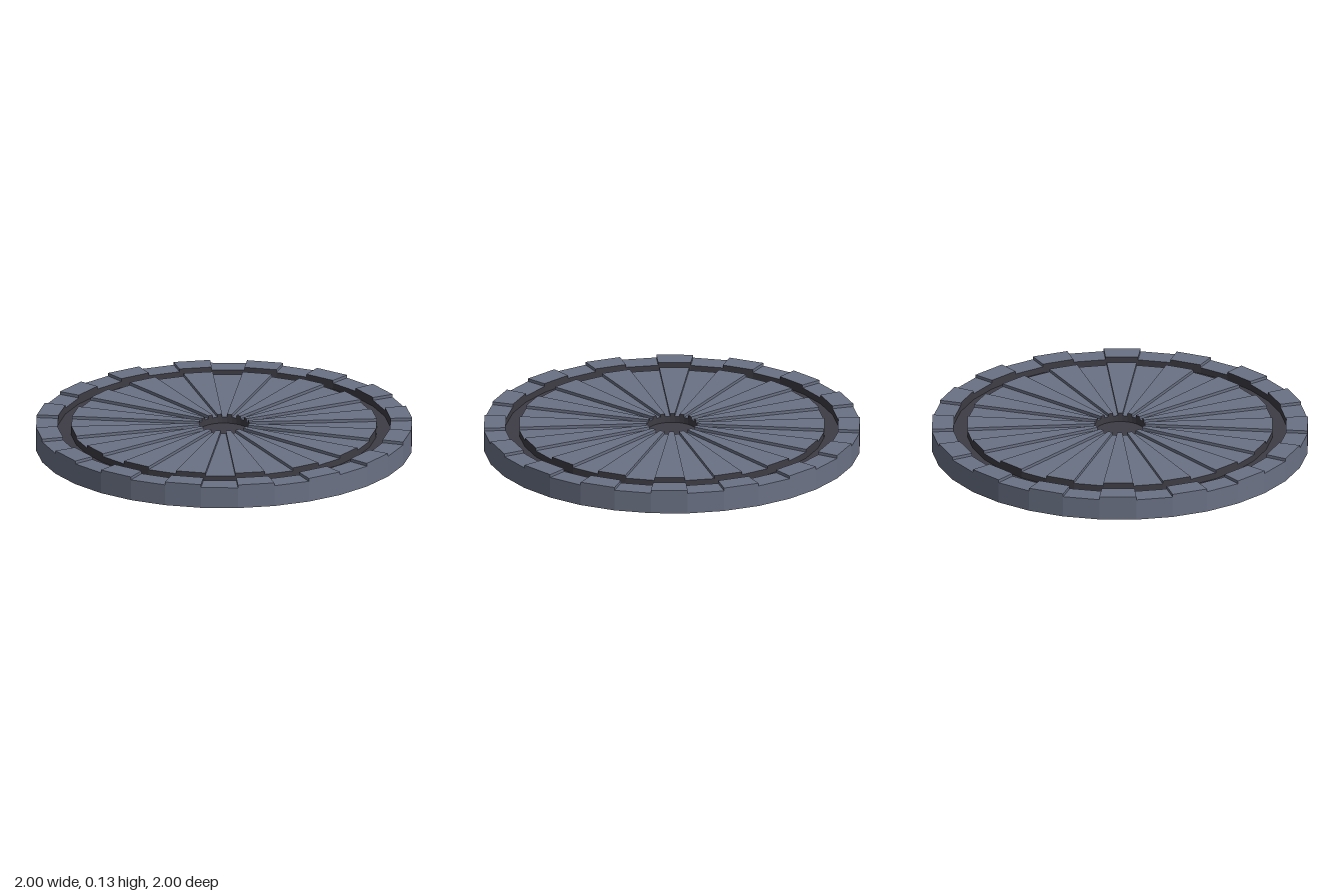
import * as THREE from 'three';

const SIDES = 32;
const HIGH = 0.13, LOW = 0.114, FLOOR = 0.08;
const R_OUTER = 1, R_GROOVE_OUT = 0.885, R_GROOVE_IN = 0.812, R_HUB = 0.133;

const point = (i, r, y) => {
  const a = (i / SIDES) * Math.PI * 2;
  return [r * Math.cos(a), y, r * Math.sin(a)];
};
// Alternate sectors are sunk
const topOf = (i) => (i % 2 === 0 ? LOW : HIGH);

// Collects flat quads and turns them into a mesh
class Panels {
  constructor() { this.data = []; }
  quad(a, b, c, d) { this.data.push(...a, ...b, ...c, ...a, ...c, ...d); }
  // Level strip of one sector, facing up
  flat(i, r0, r1, y) {
    this.quad(point(i, r0, y), point(i + 1, r0, y), point(i + 1, r1, y), point(i, r1, y));
  }
  // Upright wall of one sector, facing away from or toward the axis
  wall(i, r, y0, y1, outward) {
    const q = [point(i, r, y0), point(i, r, y1), point(i + 1, r, y1), point(i + 1, r, y0)];
    this.quad(...(outward ? q : q.reverse()));
  }
  // Both radial sides of a raised sector
  steps(i, r0, r1) {
    for (const [k, flip] of [[i, true], [i + 1, false]]) {
      const q = [point(k, r0, LOW), point(k, r1, LOW), point(k, r1, HIGH), point(k, r0, HIGH)];
      this.quad(...(flip ? q.reverse() : q));
    }
  }
  mesh(name, material) {
    const g = new THREE.BufferGeometry();
    g.setAttribute('position', new THREE.Float32BufferAttribute(this.data, 3));
    g.computeVertexNormals();
    const m = new THREE.Mesh(g, material);
    m.name = name;
    return m;
  }
}

export function createModel() {
  const slate = new THREE.MeshStandardMaterial({ color: 0x6a7184 });
  slate.name = 'slate';
  const charcoal = new THREE.MeshStandardMaterial({ color: 0x3e3d45 });
  charcoal.name = 'charcoal';

  const rim = new Panels(), disc = new Panels(), side = new Panels();
  const groove = new Panels(), hub = new Panels();

  for (let i = 0; i < SIDES; i++) {
    const y = topOf(i);
    // Notched rim and radial wedges
    rim.flat(i, R_GROOVE_OUT, R_OUTER, y);
    disc.flat(i, R_HUB, R_GROOVE_IN, y);
    if (y === HIGH) {
      rim.steps(i, R_GROOVE_OUT, R_OUTER);
      disc.steps(i, R_HUB, R_GROOVE_IN);
    }
    // Outer side
    side.wall(i, R_OUTER, 0, y, true);
    // Ring groove
    groove.flat(i, R_GROOVE_IN, R_GROOVE_OUT, FLOOR);
    groove.wall(i, R_GROOVE_OUT, FLOOR, y, false);
    groove.wall(i, R_GROOVE_IN, FLOOR, y, true);
    // Centre recess wall
    hub.wall(i, R_HUB, FLOOR, y, false);
  }

  const group = new THREE.Group();
  group.name = 'roundPlatform';
  group.add(
    rim.mesh('notchedRim', slate),
    disc.mesh('wedgeDisc', slate),
    side.mesh('outerSide', slate),
    groove.mesh('ringGroove', charcoal),
    hub.mesh('centreRecessWall', charcoal),
  );

  // Centre recess floor and underside
  const recess = new THREE.Mesh(new THREE.CircleGeometry(R_HUB, SIDES), charcoal);
  recess.name = 'centreRecessFloor';
  recess.rotation.x = -Math.PI / 2;
  recess.position.y = FLOOR;
  const underside = new THREE.Mesh(new THREE.CircleGeometry(R_OUTER, SIDES), slate);
  underside.name = 'underside';
  underside.rotation.x = Math.PI / 2;
  group.add(recess, underside);
  return group;
}
